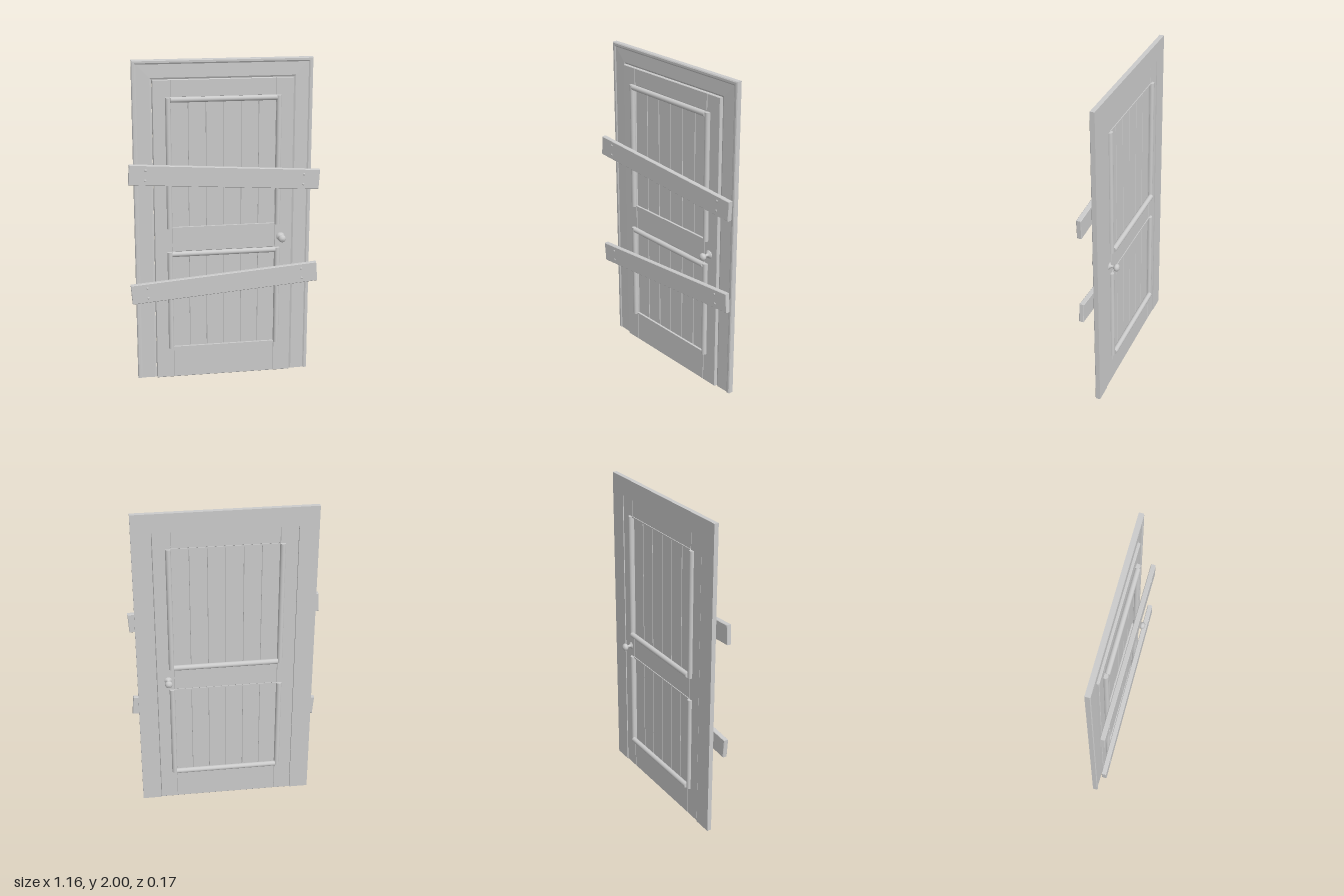
import * as THREE from 'three';

const grey = new THREE.MeshStandardMaterial({ color: 0xcccccc });
const greyBoth = new THREE.MeshStandardMaterial({ color: 0xcccccc, side: THREE.DoubleSide });

function add(parent, name, geometry, x = 0, y = 0, z = 0, material = grey) {
  const mesh = new THREE.Mesh(geometry, material);
  mesh.name = name;
  mesh.position.set(x, y, z);
  parent.add(mesh);
  return mesh;
}

// Box with chamfered edges, centred on its origin
function chamferBox(w, h, d, b = 0.002) {
  const x = w / 2 - b, y = h / 2 - b;
  const shape = new THREE.Shape([
    new THREE.Vector2(-x, -y), new THREE.Vector2(x, -y),
    new THREE.Vector2(x, y), new THREE.Vector2(-x, y),
  ]);
  const g = new THREE.ExtrudeGeometry(shape, {
    depth: d - 2 * b, bevelEnabled: true, bevelSize: b, bevelThickness: b, bevelSegments: 1,
  });
  return g.translate(0, 0, b - d / 2);
}

// Moulded casing: a profile of [inset, z] swept up, across and down with mitred corners
function casingGeometry(halfWidth, height, profile) {
  const stations = [
    (d, z) => [-halfWidth + d, 0, z],
    (d, z) => [-halfWidth + d, height - d, z],
    (d, z) => [halfWidth - d, height - d, z],
    (d, z) => [halfWidth - d, 0, z],
  ];
  const pos = [];
  const n = profile.length;
  for (let i = 0; i < 3; i++) {
    for (let j = 0; j < n; j++) {
      const p = profile[j], q = profile[(j + 1) % n];
      const a = stations[i](...p), b = stations[i](...q);
      const c = stations[i + 1](...q), d = stations[i + 1](...p);
      pos.push(...a, ...b, ...c, ...a, ...c, ...d);
    }
  }
  // Feet
  const faces = THREE.ShapeUtils.triangulateShape(profile.map(p => new THREE.Vector2(...p)), []);
  for (const s of [stations[0], stations[3]]) {
    for (const f of faces) {
      const t = f.map(k => s(...profile[k]));
      const e1 = new THREE.Vector3(...t[1]).sub(new THREE.Vector3(...t[0]));
      const e2 = new THREE.Vector3(...t[2]).sub(new THREE.Vector3(...t[0]));
      if (e1.cross(e2).y > 0) t.reverse();
      pos.push(...t.flat());
    }
  }
  const g = new THREE.BufferGeometry();
  g.setAttribute('position', new THREE.Float32BufferAttribute(pos, 3));
  g.computeVertexNormals();
  return g;
}

// Panel of vertical planks with round beading on both faces
function makePanel(name, y0, y1) {
  const panel = new THREE.Group();
  panel.name = name;
  const h = y1 - y0, mid = (y0 + y1) / 2, r = 0.0165;
  const plank = chamferBox(0.1065, h + 0.01, 0.022, 0.003);
  for (let i = 0; i < 6; i++) add(panel, 'panelPlank', plank, -0.2667 + i * 0.10667, mid, -0.002);

  const upright = new THREE.CylinderGeometry(r, r, h, 16);
  const crossBead = new THREE.CylinderGeometry(r, r, 0.64, 16).rotateZ(Math.PI / 2);
  const strip = new THREE.BoxGeometry(0.64, 0.008, 0.03);
  for (const side of [-1, 1]) {
    for (const face of [-1, 1]) add(panel, 'uprightBead', upright, side * 0.333, mid, face * 0.0255);
  }
  // Heavy bead on the front top and back bottom, slim strips opposite
  add(panel, 'frontTopBead', crossBead, 0, y1 - 0.012, 0.03);
  add(panel, 'backBottomBead', crossBead, 0, y0 + 0.012, -0.035);
  add(panel, 'frontBottomStrip', strip, 0, y0 + 0.002, 0.008);
  add(panel, 'backTopStrip', strip, 0, y1 - 0.002, -0.012);
  return panel;
}

// Board nailed across the door at a slant
function makeBoard(name, y, tilt) {
  const board = new THREE.Group();
  board.name = name;
  board.position.set(0, y, 0.0685);
  board.rotation.z = tilt;
  add(board, 'plank', chamferBox(1.158, 0.122, 0.03, 0.003));
  const nail = new THREE.SphereGeometry(0.008, 12, 6, 0, Math.PI * 2, 0, Math.PI / 2)
    .rotateX(Math.PI / 2).scale(1, 1, 0.5);
  for (const x of [-0.48, 0.48]) {
    for (const v of [-0.031, 0.031]) add(board, 'nailHead', nail, x, v, 0.0148);
  }
  return board;
}

export function createModel() {
  const model = new THREE.Group();
  model.name = 'boardedDoor';

  // Casing
  add(model, 'doorFrame', casingGeometry(0.543, 2, [
    [0, -0.026], [0, 0.002], [0.006, 0.006], [0.018, 0.006], [0.026, 0.001],
    [0.105, 0.003], [0.117, -0.003], [0.117, -0.026],
  ]), 0, 0, 0, greyBoth);

  // Door leaf
  const door = new THREE.Group();
  door.name = 'door';
  model.add(door);
  for (const s of [-1, 1]) add(door, 'stile', chamferBox(0.106, 1.885, 0.041, 0.003), s * 0.371, 0.9425, -0.003);
  for (const [name, y0, y1] of [['bottomRail', 0, 0.2], ['middleRail', 0.83, 0.98], ['topRail', 1.78, 1.885]]) {
    add(door, name, chamferBox(0.637, y1 - y0, 0.04, 0.003), 0, (y0 + y1) / 2, -0.003);
  }
  door.add(makePanel('upperPanel', 0.98, 1.78), makePanel('lowerPanel', 0.2, 0.83));

  // Knobs on both faces
  const profile = [
    [0.026, 0.012], [0.026, 0.02], [0.022, 0.025], [0.012, 0.03], [0.0085, 0.038], [0.0085, 0.05],
    [0.014, 0.054], [0.021, 0.06], [0.0235, 0.068], [0.021, 0.077], [0.013, 0.084], [0, 0.0865],
  ].map(p => new THREE.Vector2(...p));
  const knob = new THREE.LatheGeometry(profile, 24).rotateX(Math.PI / 2);
  add(door, 'frontKnob', knob, 0.356, 0.897, 0);
  add(door, 'backKnob', knob, 0.356, 0.897, 0).rotation.y = Math.PI;

  // Boards
  model.add(makeBoard('upperBoard', 1.302, -0.06), makeBoard('lowerBoard', 0.632, 0.081));
  return model;
}
